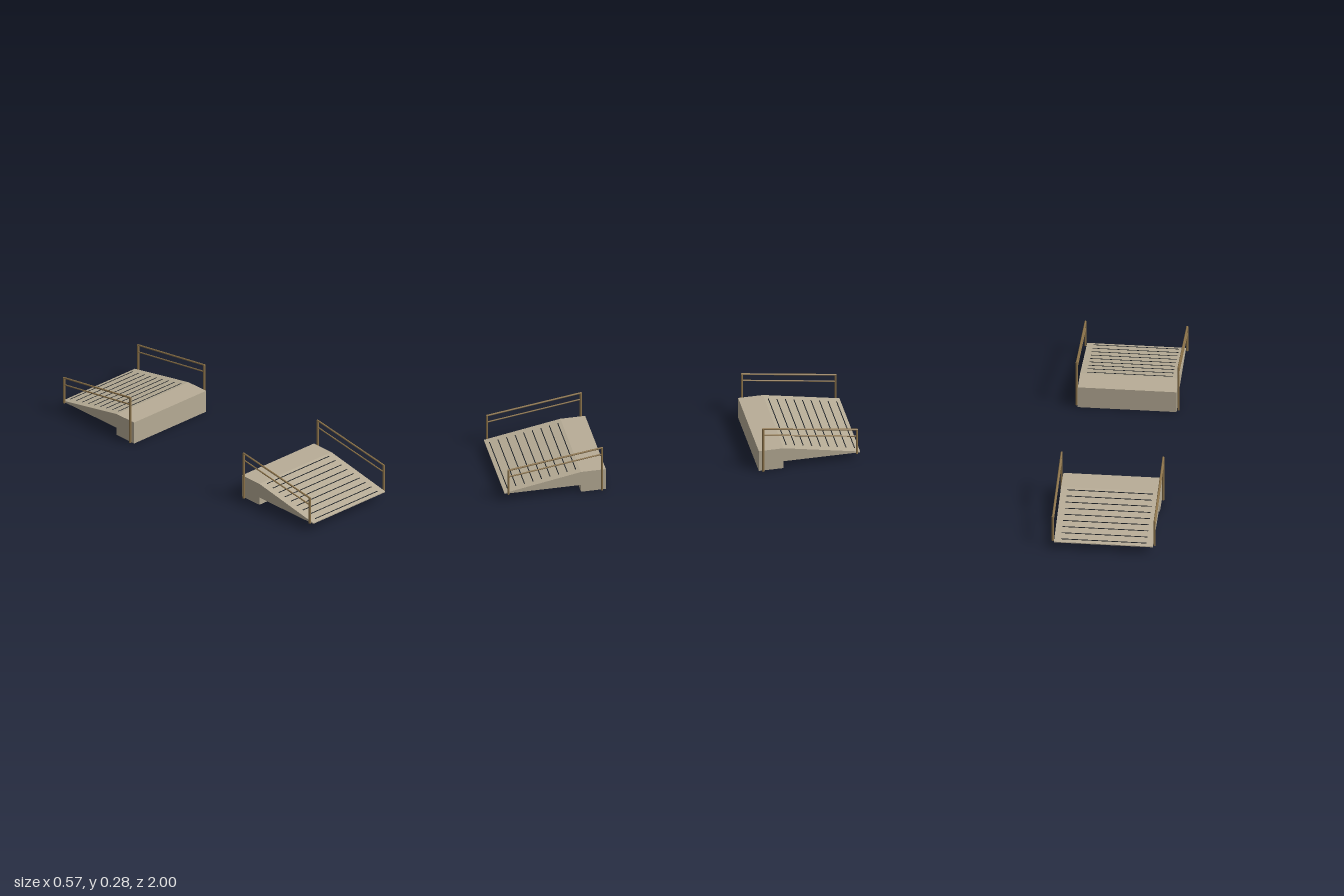
import * as THREE from 'three';

const concrete = new THREE.MeshStandardMaterial({ color: 0xb8ad97 });
concrete.name = 'concrete';
const bronze = new THREE.MeshStandardMaterial({ color: 0x8c734a });
bronze.name = 'bronze';
const dark = new THREE.MeshStandardMaterial({ color: 0x1e2226 });
dark.name = 'darkGrip';

const HALF_WIDTH = 0.273;
const RAIL_X = 0.281;
const SLOPE = { z0: 0.57, y0: 0.13, z1: 1, y1: 0.05 };

// Round bar between two points given as [y, z] at a fixed x
function bar(name, x, [ya, za], [yb, zb], radius) {
  const a = new THREE.Vector3(x, ya, za);
  const b = new THREE.Vector3(x, yb, zb);
  const dir = b.clone().sub(a);
  const mesh = new THREE.Mesh(new THREE.CylinderGeometry(radius, radius, dir.length(), 12), bronze);
  mesh.name = name;
  mesh.position.copy(a).add(b).multiplyScalar(0.5);
  mesh.quaternion.setFromUnitVectors(new THREE.Vector3(0, 1, 0), dir.normalize());
  return mesh;
}

// Posts and two sloping rails on one side
function handrail(x, name) {
  const rail = new THREE.Group();
  rail.name = name;
  rail.add(
    bar('tallPost', x, [0, 0.453], [0.28, 0.453], 0.006),
    bar('shortPost', x, [0.045, 0.98], [0.203, 0.98], 0.006),
    bar('topRail', x, [0.279, 0.449], [0.201, 0.984], 0.005),
    bar('middleRail', x, [0.237, 0.453], [0.159, 0.98], 0.004)
  );
  return rail;
}

function ramp(name) {
  const group = new THREE.Group();
  group.name = name;

  // Side profile drawn as (-z, y), extruded across the width
  const profile = [[0.43, 0], [0.57, 0], [0.57, 0.045], [1, 0.045],
    [SLOPE.z1, SLOPE.y1], [SLOPE.z0, SLOPE.y0], [0.43, 0.13]];
  const shape = new THREE.Shape(profile.map(([z, y]) => new THREE.Vector2(-z, y)));
  const geometry = new THREE.ExtrudeGeometry(shape, { depth: HALF_WIDTH * 2, bevelEnabled: false });
  geometry.translate(0, 0, -HALF_WIDTH);
  geometry.rotateY(Math.PI / 2);
  const body = new THREE.Mesh(geometry, concrete);
  body.name = 'rampBody';
  group.add(body);

  // Grip strips across the slope
  const tilt = Math.atan2(SLOPE.y0 - SLOPE.y1, SLOPE.z1 - SLOPE.z0);
  for (let i = 0; i < 9; i++) {
    const z = 0.592 + i * 0.048;
    const t = (z - SLOPE.z0) / (SLOPE.z1 - SLOPE.z0);
    const strip = new THREE.Mesh(new THREE.BoxGeometry(0.474, 0.002, 0.005), dark);
    strip.name = 'gripStrip';
    strip.position.set(0, THREE.MathUtils.lerp(SLOPE.y0, SLOPE.y1, t) + 0.0005, z);
    strip.rotation.x = tilt;
    group.add(strip);
  }

  group.add(handrail(RAIL_X, 'leftHandrail'), handrail(-RAIL_X, 'rightHandrail'));
  return group;
}

export function createModel() {
  const model = new THREE.Group();
  model.name = 'rampPair';
  const back = ramp('backRamp');
  back.rotation.y = Math.PI;
  model.add(ramp('frontRamp'), back);
  return model;
}
